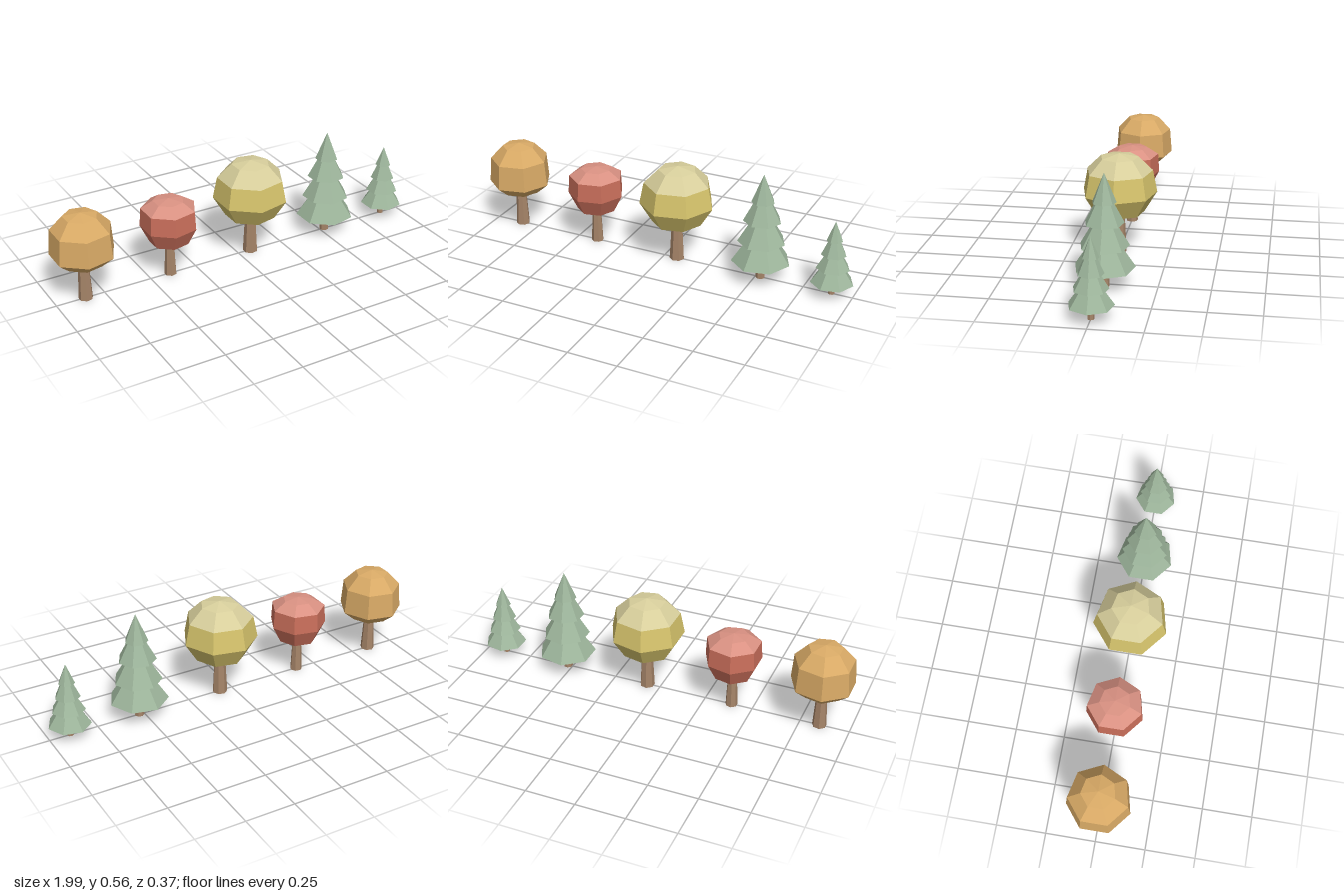
import * as THREE from 'three';

const flat = (name, color) => new THREE.MeshStandardMaterial({ name, color, flatShading: true });
const SIDES = 7;

export function createModel() {
  const mats = {
    bark: flat('bark', 0xa58468),
    amber: flat('amber leaves', 0xd9aa66),
    red: flat('red leaves', 0xca6f5b),
    redTop: flat('pale red leaves', 0xd99182),
    yellow: flat('yellow leaves', 0xd6c46c),
    yellowTop: flat('pale yellow leaves', 0xd8cf9c),
    pine: flat('pine needles', 0x9db59b),
  };

  // Faceted surface of revolution with one corner pointing to +x; profile runs bottom to top as [radius, y]
  function facet(name, profile, material) {
    const geo = new THREE.LatheGeometry(profile.map(([r, y]) => new THREE.Vector2(r, y)), SIDES);
    geo.rotateY(Math.PI / 2);
    const mesh = new THREE.Mesh(geo, material);
    mesh.name = name;
    return mesh;
  }

  // Tapered trunk, closed at the foot
  const trunk = (rBottom, rTop, height) =>
    facet('trunk', [[0, 0], [rBottom, 0], [rTop, height]], mats.bark);

  // Round tree: lower crown rings and upper crown rings share the ring at index 3
  function roundTree(name, x, rings, trunkRadius, lower, upper) {
    const tree = new THREE.Group();
    tree.name = name;
    tree.position.x = x;
    tree.add(trunk(trunkRadius, trunkRadius * 0.68, rings[1][1] + 0.02));
    tree.add(facet('lowerCrown', rings.slice(0, 4), lower));
    tree.add(facet('upperCrown', rings.slice(3), upper));
    return tree;
  }

  // Pine: stacked skirts, each [bottom radius, bottom y, top radius, top y], closed underneath
  function pineTree(name, x, tiers, trunkRadius) {
    const tree = new THREE.Group();
    tree.name = name;
    tree.position.x = x;
    tree.add(trunk(trunkRadius, trunkRadius * 0.85, tiers[0][1] + 0.02));
    tiers.forEach(([r0, y0, r1, y1], i) =>
      tree.add(facet(`branchTier${i + 1}`, [[0, y0], [r0, y0], [r1, y1], [0, y1]], mats.pine)));
    return tree;
  }

  const model = new THREE.Group();
  model.name = 'treeRow';
  model.add(
    roundTree('amberTree', -0.848,
      [[0, 0.185], [0.1, 0.197], [0.161, 0.25], [0.15, 0.38], [0.085, 0.45], [0, 0.466]],
      0.036, mats.amber, mats.amber),
    roundTree('redTree', -0.39,
      [[0, 0.172], [0.1, 0.187], [0.144, 0.275], [0.138, 0.37], [0.077, 0.41], [0, 0.421]],
      0.031, mats.red, mats.redTop),
    roundTree('yellowTree', 0.07,
      [[0, 0.198], [0.128, 0.212], [0.19, 0.312], [0.168, 0.423], [0.096, 0.495], [0, 0.514]],
      0.038, mats.yellow, mats.yellowTop),
    pineTree('tallPine', 0.525, [
      [0.148, 0.095, 0.065, 0.22],
      [0.12, 0.203, 0.045, 0.33],
      [0.095, 0.315, 0.035, 0.43],
      [0.058, 0.415, 0, 0.558],
    ], 0.024),
    pineTree('smallPine', 0.893, [
      [0.107, 0.065, 0.045, 0.155],
      [0.083, 0.143, 0.033, 0.228],
      [0.062, 0.215, 0.024, 0.3],
      [0.04, 0.29, 0, 0.39],
    ], 0.016),
  );
  return model;
}
